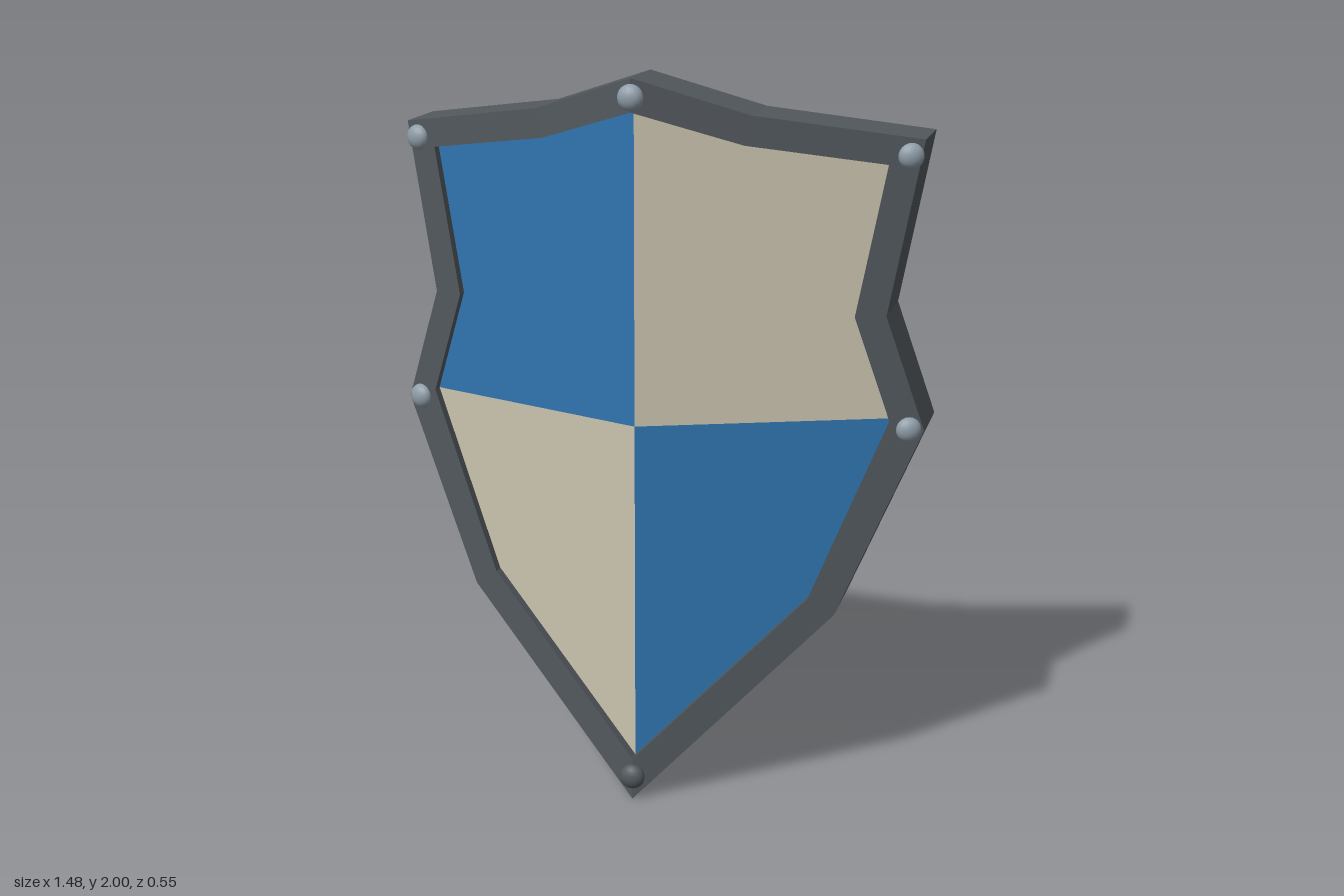
import * as THREE from 'three';

const mat = (name, color, side = THREE.FrontSide) => {
  const m = new THREE.MeshStandardMaterial({ color, side });
  m.name = name;
  return m;
};

// Right half of each outline, from top to bottom
const OUTER = [[0, 2], [0.29, 1.9], [0.72, 1.83], [0.635, 1.36], [0.74, 1.04], [0.52, 0.52], [0, 0]];
const INNER = [[0, 1.912], [0.275, 1.822], [0.63, 1.765], [0.555, 1.36], [0.65, 1.07], [0.45, 0.57], [0, 0.12]];
const SLOPE = 0.4;
const SPLIT = 1.07;

// Folds a geometry backwards along the centre line
function bend(geo) {
  const p = geo.attributes.position;
  for (let i = 0; i < p.count; i++) p.setZ(i, p.getZ(i) - SLOPE * Math.abs(p.getX(i)));
  geo.computeVertexNormals();
  return geo;
}

// Full closed outline at a given depth
function ring(half, z) {
  const left = half.slice(1, -1).reverse().map(([x, y]) => [-x, y]);
  return [...half, ...left].map(([x, y]) => [x, y, z]);
}

// Flat-shaded surface joining successive rings
function loft(rings) {
  const v = [];
  for (let r = 0; r < rings.length - 1; r++) {
    const a = rings[r], b = rings[r + 1], n = a.length;
    for (let i = 0; i < n; i++) {
      const j = (i + 1) % n;
      v.push(...a[i], ...b[j], ...b[i], ...a[i], ...a[j], ...b[j]);
    }
  }
  const geo = new THREE.BufferGeometry();
  geo.setAttribute('position', new THREE.Float32BufferAttribute(v, 3));
  return bend(geo);
}

export function createModel() {
  const group = new THREE.Group();
  group.name = 'shield';
  const steel = mat('dark steel', 0x53595e);
  const sheet = mat('dark steel', 0x53595e, THREE.DoubleSide);
  sheet.color = steel.color;
  const blue = mat('blue paint', 0x3075b0, THREE.DoubleSide);
  const cream = mat('cream paint', 0xcac3ae, THREE.DoubleSide);
  const silver = mat('rivet metal', 0x8f9da8);
  const leather = mat('brown leather', 0x6b4029, THREE.DoubleSide);

  const add = (name, geo, material) => {
    const m = new THREE.Mesh(geo, material);
    m.name = name;
    group.add(m);
    return m;
  };

  // Hollow channel rim: inner return, front lip, outer wall, back lip
  add('rim', loft([
    ring(INNER, 0.217), ring(INNER, 0.25), ring(OUTER, 0.25), ring(OUTER, 0.05), ring(INNER, 0.05),
  ]), sheet);

  // Four painted quarters
  const upper = [[0, SPLIT], ...INNER.slice(0, 5)];
  const lower = [[0, SPLIT], ...INNER.slice(4)];
  for (const side of [1, -1]) {
    for (const isUpper of [true, false]) {
      const pts = (isUpper ? upper : lower).map(([x, y]) => new THREE.Vector2(side * x, y));
      const geo = new THREE.ShapeGeometry(new THREE.Shape(pts));
      geo.translate(0, 0, 0.217);
      const name = (isUpper ? 'upper' : 'lower') + (side > 0 ? 'Left' : 'Right') + 'Panel';
      add(name, bend(geo), isUpper === (side > 0) ? cream : blue);
    }
  }

  // Flattened rivets on the front lip
  const rivet = new THREE.SphereGeometry(0.035, 16, 12).scale(1, 1, 0.7);
  const rivets = [[0, 1.95], [0, 0.068], [0.685, 1.787], [-0.685, 1.787], [0.7, 1.045], [-0.7, 1.045]];
  for (const [x, y] of rivets) {
    const m = add('rivet', rivet, y < 0.1 ? steel : silver);
    m.position.set(x, y, 0.25 - SLOPE * Math.abs(x));
    m.rotation.y = Math.sign(x) * Math.atan(SLOPE);
  }

  // Folded backing plate of the handle
  const plate = new THREE.BoxGeometry(0.76, 0.165, 0.02, 2, 1, 1).toNonIndexed();
  plate.translate(0, 1.065, 0.095);
  add('handlePlate', bend(plate), steel);

  for (const side of [1, -1]) {
    // Post from plate to grip
    const post = new THREE.CylinderGeometry(0.05, 0.05, 0.235, 16).rotateX(Math.PI / 2);
    add('handlePost', post, steel).position.set(side * 0.24, SPLIT, -0.1225);

    // One half of the folded grip
    const grip = new THREE.CylinderGeometry(0.05, 0.05, 0.277, 16, 1, true).rotateZ(Math.PI / 2);
    grip.scale(1, 1, 1.08).translate(side * 0.1385, SPLIT, -0.109);
    add('grip', bend(grip), leather);
  }
  return group;
}
